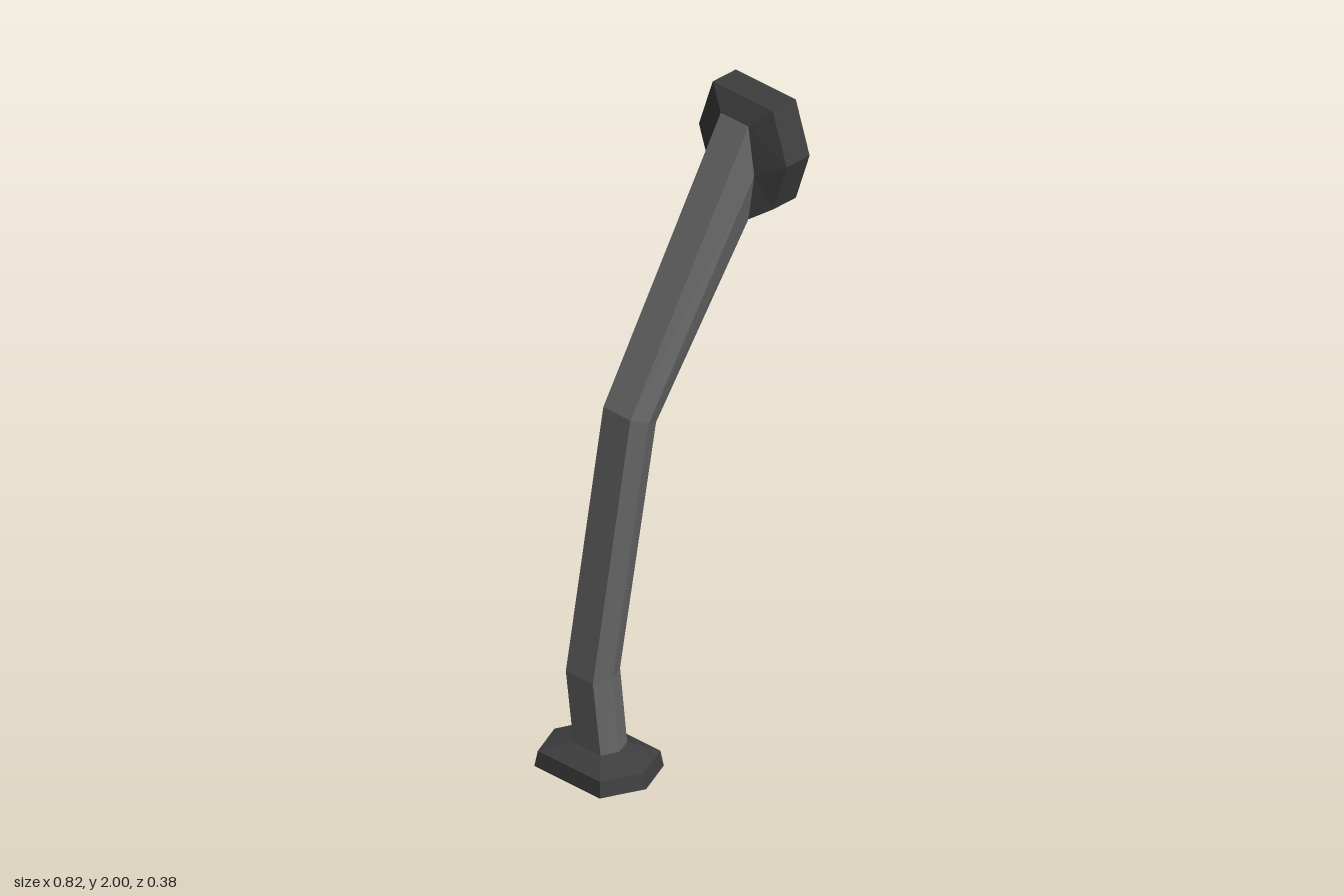
import * as THREE from 'three';

// One hexagonal section: centre, half-width vector (ux, uy), flat and tip half-depths in z
const ring = (x, y, z, ux, uy, flat, tip) => [
  [ux, uy, flat], [0, 0, tip], [-ux, -uy, flat],
  [-ux, -uy, -flat], [0, 0, -tip], [ux, uy, -flat],
].map(([dx, dy, dz]) => new THREE.Vector3(x + dx, y + dy, z + dz));

// Skin consecutive sections, optionally closing either end
function loft(name, rings, material, capStart, capEnd) {
  const points = [];
  for (let r = 0; r < rings.length - 1; r++) {
    const a = rings[r], b = rings[r + 1];
    for (let i = 0; i < 6; i++) {
      const j = (i + 1) % 6;
      points.push(a[i], b[i], a[j], a[j], b[i], b[j]);
    }
  }
  const first = rings[0], last = rings[rings.length - 1];
  for (let i = 1; i < 5; i++) {
    if (capStart) points.push(first[0], first[i], first[i + 1]);
    if (capEnd) points.push(last[0], last[i + 1], last[i]);
  }
  const geometry = new THREE.BufferGeometry().setFromPoints(points);
  geometry.computeVertexNormals();
  const mesh = new THREE.Mesh(geometry, material);
  mesh.name = name;
  return mesh;
}

export function createModel() {
  const group = new THREE.Group();
  group.name = 'bentHandle';
  const darkMetal = new THREE.MeshStandardMaterial({ color: 0x3e3e3e, flatShading: true });
  darkMetal.name = 'darkMetal';
  const greyMetal = new THREE.MeshStandardMaterial({ color: 0x646464, flatShading: true });
  greyMetal.name = 'greyMetal';

  // Bar sections: foot, lower bend, upper bend, sheared wall end
  const foot = ring(-0.277, 0.08, 0.004, 0.055, 0, 0.055, 0.077);
  const lowerBend = ring(-0.28, 0.315, -0.023, 0.056, 0.005, 0.055, 0.08);
  const upperBend = ring(-0.162, 1.135, 0.01, 0.053, -0.025, 0.055, 0.077);
  const wallEnd = ring(0.281, 1.78, 0, 0, -0.156, 0.056, 0.08);

  group.add(loft('bar', [foot, lowerBend, upperBend, wallEnd], greyMetal));

  // Floor flange with sloped shoulder
  group.add(loft('baseFlange', [
    ring(-0.278, 0, 0, 0.132, 0, 0.133, 0.191),
    ring(-0.278, 0.05, 0, 0.125, 0, 0.126, 0.181),
    foot,
  ], darkMetal, true, false));

  // Upper flange facing sideways
  group.add(loft('upperFlange', [
    wallEnd,
    ring(0.315, 1.835, 0, 0, -0.165, 0.122, 0.178),
    ring(0.41, 1.835, 0, 0, -0.165, 0.122, 0.178),
  ], darkMetal, false, true));

  return group;
}
